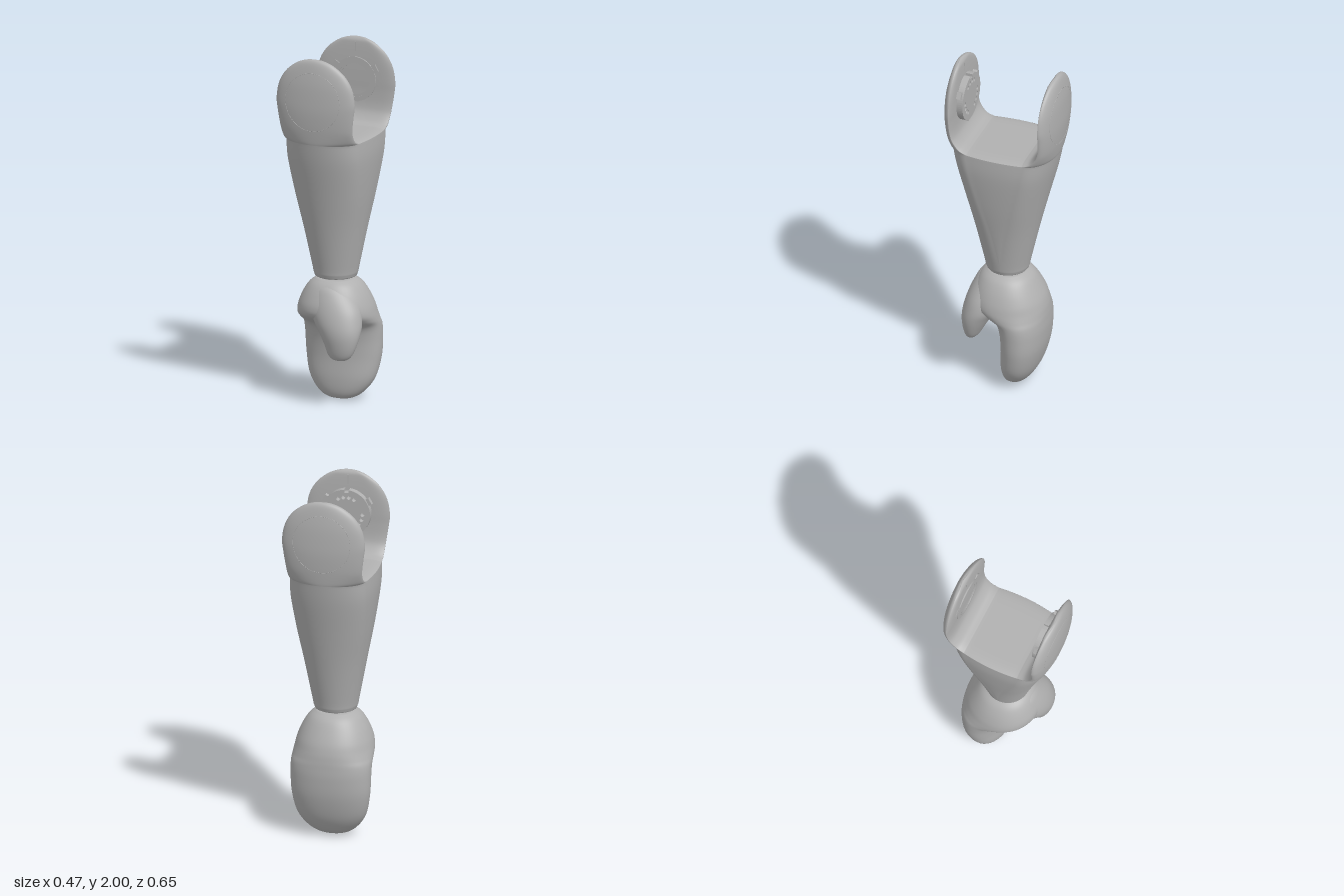
import * as THREE from 'three';
import { mergeGeometries, mergeVertices } from 'three/addons/utils/BufferGeometryUtils.js';

const shell = new THREE.MeshStandardMaterial({ color: 0xb0b0b0 });
shell.name = 'grey shell';
const CENTRE_Y = 1.765; // height of the elbow pivot

// Catmull-Rom through rows of numbers
function spline(keys, steps) {
  const rows = [];
  for (let i = 0; i < keys.length - 1; i++) {
    const k = [i - 1, i, i + 1, i + 2].map(j => keys[Math.min(keys.length - 1, Math.max(0, j))]);
    for (let s = 0; s < steps; s++) {
      const t = s / steps;
      rows.push(k[1].map((p1, n) => {
        const p0 = k[0][n], p2 = k[2][n], p3 = k[3][n];
        return p1 + 0.5 * t * (p2 - p0 + t * (2 * p0 - 5 * p1 + 4 * p2 - p3 + t * (3 * (p1 - p2) + p3 - p0)));
      }));
    }
  }
  rows.push(keys[keys.length - 1]);
  return rows;
}

// Surface grid; fn(u 0..1, row index) gives a point
function grid(fn, nu, nv) {
  const pos = [], index = [], w = nu + 1;
  for (let j = 0; j <= nv; j++) for (let i = 0; i <= nu; i++) pos.push(...fn(i / nu, j));
  for (let j = 0; j < nv; j++) for (let i = 0; i < nu; i++) {
    const a = j * w + i;
    index.push(a, a + 1, a + w + 1, a, a + w + 1, a + w);
  }
  const g = new THREE.BufferGeometry();
  g.setAttribute('position', new THREE.Float32BufferAttribute(pos, 3));
  g.setIndex(index);
  return g;
}

function smooth(parts) {
  const g = mergeVertices(mergeGeometries(parts), 1e-4);
  g.computeVertexNormals();
  return g;
}

function add(parent, name, geometry, x = 0, y = 0, z = 0) {
  const m = new THREE.Mesh(geometry, shell);
  m.name = name;
  m.position.set(x, y, z);
  parent.add(m);
  return m;
}

// Forearm rows: height, half width, outer depth, depth where the straight side ends
const lower = spline([
  [0.712, 0, 0, 0], [0.712, 0.1, 0.1, 0], [0.73, 0.12, 0.12, 0], [0.78, 0.131, 0.131, 0],
  [1.0, 0.165, 0.18, 0.04], [1.2, 0.195, 0.229, 0.09], [1.4, 0.216, 0.28, 0.14], [1.518, 0.215, 0.304, 0.16],
], 5);
const upper = spline([
  [1.518, 0.215, 0.304, 0.16], [1.535, 0.213, 0.308, 0.205], [1.58, 0.214, 0.315, 0.242],
  [1.63, 0.219, 0.321, 0.257], [1.7, 0.229, 0.326, 0.262], [CENTRE_Y, 0.235, 0.326, 0.262],
  [1.85, 0.219, 0.322, 0.263], [1.92, 0.177, 0.313, 0.266], [1.97, 0.115, 0.303, 0.27],
  [1.993, 0.058, 0.293, 0.275], [2.0, 0, 0.282, 0.282],
], 5);
const rows = lower.concat(upper.slice(1));
const sideX = (r, z) => r[1] + (r[3] > 0 ? 0.012 * (1 - (z / r[3]) ** 2) * Math.min(1, r[3] / 0.16) : 0);

function forearmGeometry() {
  // Domed front, continuing up into the fork
  const front = grid((u, j) => {
    const [y, a, b, c] = rows[j], t = (u - 0.5) * Math.PI;
    return [a * Math.sin(t), y, c + (b - c) * Math.cos(t)];
  }, 40, rows.length - 1);
  // Straight side below the fork
  const side = grid((u, j) => {
    const r = lower[j], z = r[3] * (1 - 2 * u);
    return [sideX(r, z), r[0], z];
  }, 12, lower.length - 1);
  // Saddle inside the fork: down one prong, across the floor, up the other
  const path = upper.slice().reverse().map(([y, a, , c]) => [a, y, c]);
  const n = path.length;
  const floor = [];
  for (let i = 1; i < 12; i++) {
    const z = 0.16 * (1 - i / 6);
    floor.push([sideX(upper[0], z), upper[0][0], z]);
  }
  path.push(...floor, ...path.slice(0, n).reverse().map(([a, y, z]) => [a, y, -z]));
  const saddle = grid((u, j) => {
    const p = path[j], q = path[Math.max(0, j - 1)], r = path[Math.min(path.length - 1, j + 1)];
    const dy = r[1] - q[1], dz = r[2] - q[2], len = Math.hypot(dy, dz) || 1;
    const s = Math.sin((u - 0.5) * Math.PI);
    const d = 0.012 * (1 - s ** 8) * Math.min(1, p[0] / 0.1);
    return [p[0] * s, p[1] - d * dz / len, p[2] + d * dy / len];
  }, 40, path.length - 1);
  return smooth([front, front.clone().rotateY(Math.PI), side, side.clone().rotateY(Math.PI), saddle]);
}

// Loft of upright rings; rows: y, centre x, half width, back z, front z
function loft(keys, power) {
  const r = spline(keys, 6);
  const bend = v => Math.sign(v) * Math.abs(v) ** power;
  return smooth([grid((u, j) => {
    const [y, cx, a, z0, z1] = r[j], t = u * Math.PI * 2;
    return [cx + a * bend(Math.sin(t)), y, (z0 + z1) / 2 + (z1 - z0) / 2 * bend(Math.cos(t))];
  }, 48, r.length - 1)]);
}

// Point on the domed outer face of a prong
function outerZ(x, y) {
  const i = Math.max(1, rows.findIndex(r => r[0] >= y));
  const p = rows[i - 1], q = rows[i], t = (y - p[0]) / (q[0] - p[0]);
  const [, a, b, c] = p.map((v, n) => v + (q[n] - v) * t);
  return c + (b - c) * Math.sqrt(Math.max(0, 1 - (x / a) ** 2));
}

function ringShape(outer, inner) {
  const s = new THREE.Shape().absarc(0, 0, outer, 0, Math.PI * 2);
  s.holes.push(new THREE.Path().absarc(0, 0, inner, 0, Math.PI * 2, true));
  return s;
}
const extrude = (shape, depth) => new THREE.ExtrudeGeometry(shape, { depth, bevelEnabled: false, curveSegments: 32 });

// Three lugs spaced around a pivot
function addLugs(parent, radius, width, length, depth) {
  for (let k = 0; k < 3; k++) {
    const a = -Math.PI / 2 + k * Math.PI * 2 / 3;
    const lug = add(parent, 'lug', new THREE.BoxGeometry(length, width, depth),
      radius * Math.cos(a), radius * Math.sin(a), depth / 2);
    lug.rotation.z = a;
  }
}

export function createModel() {
  const model = new THREE.Group();
  model.name = 'forearm with hand';
  add(model, 'forearm', forearmGeometry());
  add(model, 'wristPin', new THREE.CylinderGeometry(0.09, 0.09, 0.04, 32), 0, 0.71, 0);

  // Mitten hand: joined fingers and palm, then thumb
  add(model, 'palmAndFingers', loft([
    [0.005, 0, 0, -0.06, -0.06], [0.012, 0, 0.07, -0.1, -0.015], [0.05, 0, 0.135, -0.145, 0.008],
    [0.13, 0, 0.192, -0.192, 0.016], [0.25, 0, 0.219, -0.226, 0.012], [0.36, 0, 0.225, -0.237, 0.022],
    [0.43, 0, 0.226, -0.236, 0.05], [0.47, 0, 0.224, -0.233, 0.125], [0.51, 0, 0.219, -0.227, 0.185],
    [0.56, 0, 0.207, -0.212, 0.193], [0.62, 0, 0.182, -0.182, 0.173], [0.67, 0, 0.15, -0.15, 0.146],
    [0.697, 0, 0.118, -0.118, 0.118], [0.706, 0, 0.09, -0.09, 0.09], [0.706, 0, 0, 0, 0],
  ], 0.92));
  add(model, 'thumb', loft([
    [0.278, 0.1, 0, 0.17, 0.17], [0.284, 0.1, 0.04, 0.145, 0.192], [0.31, 0.1, 0.07, 0.122, 0.207],
    [0.36, 0.1, 0.092, 0.095, 0.219], [0.42, 0.09, 0.116, 0.06, 0.226], [0.48, 0.07, 0.137, 0.02, 0.222],
    [0.55, 0.045, 0.145, 0, 0.205], [0.62, 0.02, 0.13, -0.03, 0.178], [0.67, 0.005, 0.1, -0.05, 0.148],
    [0.695, 0, 0.05, -0.05, 0.1], [0.7, 0, 0, 0, 0],
  ], 1));

  // Perforated pivot disc inside the front prong
  const frontPivot = new THREE.Group();
  frontPivot.name = 'frontPivot';
  frontPivot.position.set(0, CENTRE_Y, 0.255);
  frontPivot.rotation.y = Math.PI;
  model.add(frontPivot);
  const disc = new THREE.Shape().absarc(0, 0, 0.135, Math.PI / 2 + 0.1, Math.PI * 2.5 - 0.1);
  disc.lineTo(0.013, 0.118).lineTo(-0.013, 0.118);
  for (let k = 0; k < 3; k++) for (const [r, da] of [[0.1, -0.42], [0.1, -0.14], [0.1, 0.14], [0.1, 0.42]]) {
    const a = Math.PI / 2 + k * Math.PI * 2 / 3 + da * 1.2 + (k ? 0 : 0.01);
    disc.holes.push(new THREE.Path().absarc(r * 0.92 * Math.cos(a), r * 0.92 * Math.sin(a), 0.012, 0, Math.PI * 2, true));
  }
  add(frontPivot, 'perforatedDisc', extrude(disc, 0.04));
  addLugs(frontPivot, 0.14, 0.04, 0.025, 0.03);

  // Shallow socket ring inside the back prong
  const backPivot = new THREE.Group();
  backPivot.name = 'backPivot';
  backPivot.position.set(0, CENTRE_Y, -0.254);
  model.add(backPivot);
  add(backPivot, 'socketRing', extrude(ringShape(0.125, 0.1), 0.009));
  add(backPivot, 'socketLip', extrude(ringShape(0.1, 0.088), 0.006));
  addLugs(backPivot, 0.136, 0.045, 0.03, 0.008);

  // Seam circle on each outer face and a small rib at each tip
  for (const side of [1, -1]) {
    const points = [];
    for (let i = 0; i < 48; i++) {
      const a = i / 48 * Math.PI * 2, x = 0.163 * Math.cos(a), y = CENTRE_Y + 0.163 * Math.sin(a);
      points.push(new THREE.Vector3(x, y, side * outerZ(x, y)));
    }
    const path = new THREE.CatmullRomCurve3(points, true);
    add(model, side > 0 ? 'frontSeam' : 'backSeam', new THREE.TubeGeometry(path, 96, 0.0012, 6, true));
    add(model, 'tipRib', new THREE.BoxGeometry(0.004, 0.06, 0.01), 0, 1.945, side * 0.259);
  }
  return model;
}
